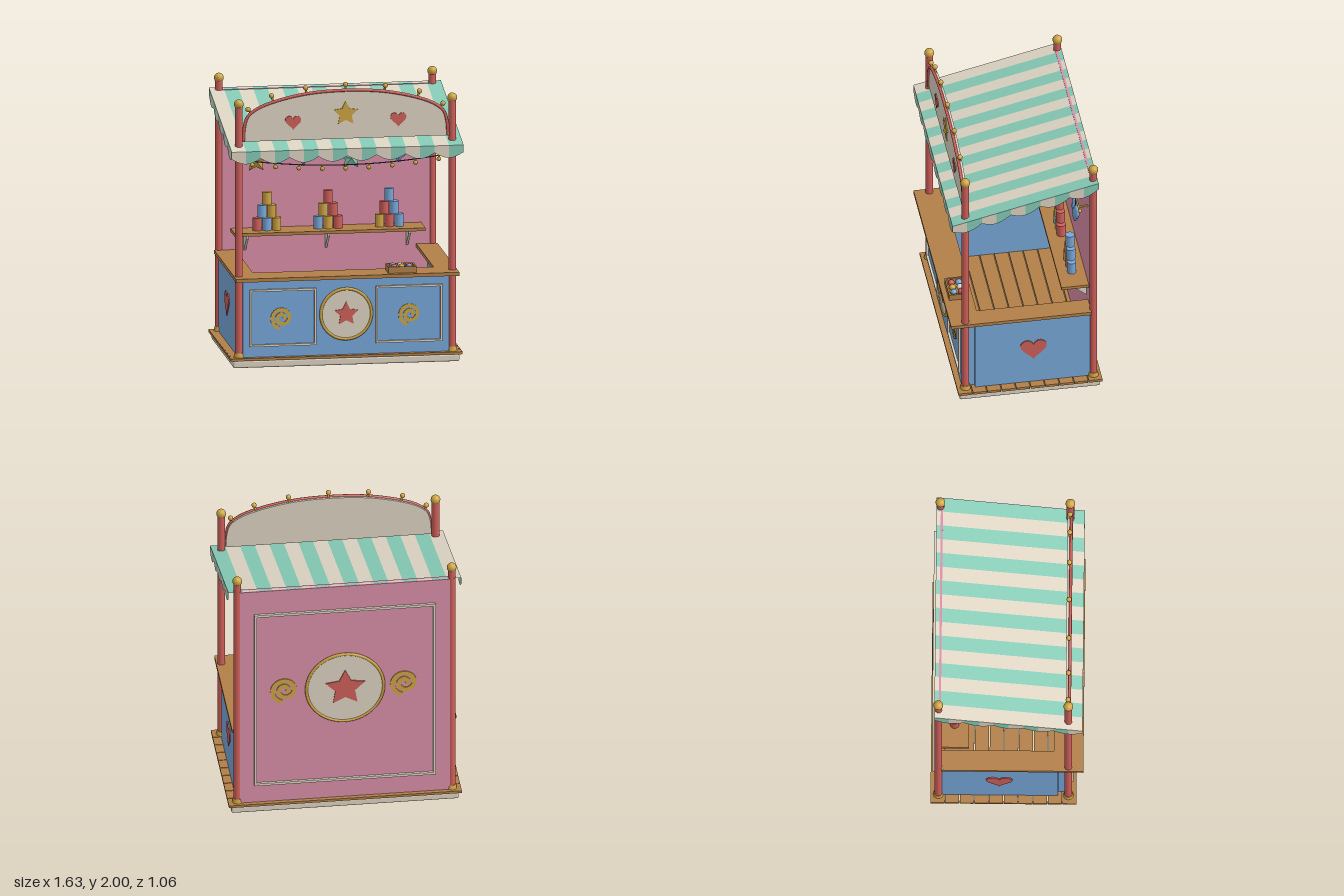
import * as THREE from 'three';
import { mergeGeometries } from 'three/addons/utils/BufferGeometryUtils.js';
import { RoundedBoxGeometry } from 'three/addons/geometries/RoundedBoxGeometry.js';

const mat = (name, color, side = THREE.FrontSide) => {
  const m = new THREE.MeshStandardMaterial({ color, side });
  m.name = name;
  return m;
};

export function createModel() {
  const cream = mat('cream', 0xded5c3, THREE.DoubleSide), red = mat('red', 0xd0605a);
  const gold = mat('gold', 0xcfa544), green = mat('mint green', 0x86cbb6, THREE.DoubleSide);
  const pink = mat('pink', 0xdb8fa8), blue = mat('blue', 0x78a8da);
  const wood = mat('wood', 0xb38048), navy = mat('navy', 0x34486a);

  const model = new THREE.Group();
  model.name = 'fairgroundStall';
  const add = (name, geo, material, x = 0, y = 0, z = 0, parent = model) => {
    const m = new THREE.Mesh(geo, material);
    m.name = name;
    m.position.set(x, y, z);
    parent.add(m);
    return m;
  };
  const group = (name, x = 0, y = 0, z = 0, ry = 0) => {
    const g = new THREE.Group();
    g.name = name;
    g.position.set(x, y, z);
    g.rotation.y = ry;
    model.add(g);
    return g;
  };
  // box given by its limits
  const block = (name, m, x0, x1, y0, y1, z0, z1, parent) => add(name,
    new THREE.BoxGeometry(x1 - x0, y1 - y0, z1 - z0), m, (x0 + x1) / 2, (y0 + y1) / 2, (z0 + z1) / 2, parent);
  const cyl = (r, h, n = 20) => new THREE.CylinderGeometry(r, r, h, n);
  const ball = r => new THREE.SphereGeometry(r, 18, 12);
  const tube = (pts, r, n = 60) => new THREE.TubeGeometry(new THREE.CatmullRomCurve3(pts), n, r, 8);

  // outlines
  const starPts = R => Array.from({ length: 10 }, (_, i) => {
    const a = Math.PI / 2 + i * Math.PI / 5, r = i % 2 ? R * 0.5 : R;
    return new THREE.Vector2(r * Math.cos(a), r * Math.sin(a));
  });
  const heartPts = w => Array.from({ length: 40 }, (_, i) => {
    const t = -i / 40 * Math.PI * 2, k = w / 32;
    return new THREE.Vector2(16 * Math.sin(t) ** 3 * k,
      (13 * Math.cos(t) - 5 * Math.cos(2 * t) - 2 * Math.cos(3 * t) - Math.cos(4 * t) + 2.5) * k);
  });
  const swirlPts = R => {
    const inner = [], outer = [], n = 56;
    for (let i = 0; i <= n; i++) {
      const t = i / n, a = -1.8 - (1 - t) * Math.PI * 3.7, r = R * (0.14 + 0.72 * t), w = R * 0.14;
      inner.push(new THREE.Vector2((r - w) * Math.cos(a), (r - w) * Math.sin(a)));
      outer.push(new THREE.Vector2((r + w) * Math.cos(a), (r + w) * Math.sin(a)));
    }
    return outer.concat(inner.reverse());
  };
  const plate = (pts, depth = 0.008) =>
    new THREE.ExtrudeGeometry(new THREE.Shape(pts), { depth, bevelEnabled: false });

  // pillow-shaped solid from an outline
  const puffy = (pts, depth, rings, flat) => {
    const n = pts.length, pos = [], idx = [], rows = rings * 2;
    for (let j = 0; j <= rows; j++) {
      const t = (j / rings - 1) * Math.PI / 2, s = Math.max(Math.cos(t), 0.001);
      for (const p of pts) pos.push(p.x * s, p.y * s, depth * Math.sin(t));
    }
    for (let j = 0; j < rows; j++) for (let i = 0; i < n; i++) {
      const a = j * n + i, b = j * n + (i + 1) % n;
      idx.push(a, b, b + n, a, b + n, a + n);
    }
    let g = new THREE.BufferGeometry();
    g.setAttribute('position', new THREE.Float32BufferAttribute(pos, 3));
    g.setIndex(idx);
    if (flat) g = g.toNonIndexed();
    g.computeVertexNormals();
    return g;
  };

  // raised moulding around a panel
  const frame = (name, x, y, w, h, t, d, parent) => {
    for (const s of [-1, 1]) {
      add(name, new THREE.BoxGeometry(w, t, d), cream, x, y + s * (h - t) / 2, d / 2, parent);
      add(name, new THREE.BoxGeometry(t, h - t * 2, d), cream, x + s * (w - t) / 2, y, d / 2, parent);
    }
  };
  const medallion = (y, R, starR, parent) => {
    add('medallionDisc', cyl(R, 0.014, 48), cream, 0, y, 0.007, parent).rotation.x = Math.PI / 2;
    add('medallionRing', new THREE.TorusGeometry(R, 0.011, 8, 56), gold, 0, y, 0.011, parent);
    add('medallionStar', plate(starPts(starR)), red, 0, y, 0.014, parent);
  };

  // plinth and plank floor
  add('plinth', new RoundedBoxGeometry(1.59, 0.052, 0.99, 3, 0.012), cream, 0, 0.026, -0.02);
  for (let i = 0; i < 10; i++) {
    const z = -0.53 + i * 0.102;
    block('floorPlank', wood, -0.815, 0.815, 0.052, 0.07, z + 0.003, z + 0.099);
  }

  // four posts with collars and ball finials
  for (const x of [-0.75, 0.75]) for (const z of [0.43, -0.473]) {
    add('post', cyl(0.027, 1.78), red, x, 0.96, z);
    add('postCollar', new THREE.CylinderGeometry(0.03, 0.036, 0.032, 20), gold, x, 0.086, z);
    add('postFinial', ball(0.034), gold, x, 1.866, z);
  }

  // counter
  block('counterFront', blue, -0.725, 0.725, 0.07, 0.62, 0.36, 0.45);
  block('counterTop', wood, -0.785, 0.785, 0.62, 0.645, 0.33, 0.535);
  for (const s of [-1, 1]) {
    block('counterSide', blue, s * 0.735 - 0.02, s * 0.735 + 0.02, 0.07, 0.62, -0.455, 0.36);
    block('counterSideTop', wood, s * 0.71 - 0.075, s * 0.71 + 0.075, 0.62, 0.645, -0.455, 0.33);
    const side = group('sideDecoration', s * 0.755, 0.348, -0.05, s * Math.PI / 2);
    add('sideHeart', plate(heartPts(0.185)), red, 0, 0, 0, side);
  }
  const front = group('frontDecoration', 0, 0, 0.45);
  medallion(0.36, 0.178, 0.088, front);
  for (const s of [-1, 1]) {
    frame('frontMoulding', s * 0.443, 0.348, 0.468, 0.404, 0.014, 0.016, front);
    add('frontSwirl', plate(swirlPts(0.088)), gold, s * 0.45, 0.345, 0, front);
  }

  // back wall with its painted rear
  block('backWall', pink, -0.735, 0.735, 0.07, 1.784, -0.497, -0.455);
  const back = group('backDecoration', 0, 0, -0.497, Math.PI);
  frame('backMoulding', 0, 0.905, 1.27, 1.39, 0.018, 0.018, back);
  medallion(0.965, 0.27, 0.145, back);
  for (const s of [-1, 1]) add('backSwirl', plate(swirlPts(0.112)), gold, s * 0.42, 0.97, 0, back);

  // shelf, brackets and can pyramids
  block('shelf', wood, -0.67, 0.67, 0.775, 0.797, -0.455, -0.262);
  for (const x of [-0.57, 0, 0.57]) {
    const tri = [[0, 0], [0.125, 0], [0.125, -0.03], [0, -0.135]].map(p => new THREE.Vector2(...p));
    add('shelfBracket', plate(tri, 0.016), cream, x + 0.008, 0.775, -0.455).rotation.y = -Math.PI / 2;
  }
  const canColors = [red, blue, gold];
  for (let g = 0; g < 3; g++) for (let row = 0; row < 3; row++) for (let i = 0; i < 3 - row; i++)
    add('can', cyl(0.032, 0.089), canColors[(g + row + i) % 3],
      (g - 1) * 0.43 + (i - (2 - row) / 2) * 0.069, 0.842 + row * 0.091, -0.362);

  // ball tray
  const tray = group('ballTray', 0.39, 0.645, 0.432);
  block('trayBase', wood, -0.1, 0.1, 0, 0.012, -0.066, 0.066, tray);
  for (const s of [-1, 1]) {
    block('traySide', wood, -0.1, 0.1, 0, 0.045, s * 0.061 - 0.006, s * 0.061 + 0.006, tray);
    block('trayEnd', wood, s * 0.094 - 0.006, s * 0.094 + 0.006, 0, 0.045, -0.055, 0.055, tray);
  }
  for (let i = 0; i < 6; i++)
    add('throwingBall', ball(0.023), [red, cream, blue, gold][(i * 3 + (i > 2 ? 1 : 0)) % 4],
      (i % 3 - 1) * 0.054, 0.034, i < 3 ? 0.026 : -0.026, tray);

  // prize rail with hanging stars and hearts
  add('prizeRail', cyl(0.007, 1.34, 10), gold, 0, 1.455, -0.39).rotation.z = Math.PI / 2;
  for (const x of [-0.62, 0.62]) block('railBracket', gold, x - 0.006, x + 0.006, 1.449, 1.461, -0.455, -0.39);
  for (const x of [-0.67, 0.67]) add('railEnd', ball(0.014), gold, x, 1.455, -0.39);
  [gold, pink, green, blue].forEach((m, i) => {
    const x = -0.5 + i / 3, isHeart = i % 2 === 1;
    add('prizeString', cyl(0.003, 0.1, 6), navy, x, 1.41, -0.39);
    add(isHeart ? 'heartPrize' : 'starPrize', isHeart ? puffy(heartPts(0.18), 0.023, 6, false)
      : puffy(starPts(0.088), 0.025, 1, true), m, x, isHeart ? 1.318 : 1.286, -0.39);
  });

  // string of bulbs between the front posts
  const sag = x => 1.412 + 0.055 * (x / 0.72) ** 2;
  add('bulbString', tube(Array.from({ length: 13 }, (_, i) => {
    const x = (i / 6 - 1) * 0.73;
    return new THREE.Vector3(x, sag(x), 0.43);
  }), 0.004), navy);
  for (let i = -4; i <= 4; i++) {
    const x = i * 0.164;
    add('bulbCap', cyl(0.007, 0.018, 10), gold, x, sag(x) - 0.008, 0.43);
    add('stringBulb', ball(0.016), gold, x, sag(x) - 0.025, 0.43);
  }

  // striped awning with scalloped edges
  const W = 0.815, ZF = 0.53, ZB = -0.5;
  const roofY = z => 1.547 + (ZF - z) * 0.237;
  const strip = (u0, u1, rule) => {
    const g = new THREE.PlaneGeometry(1, 1, 12, 1), p = g.attributes.position;
    for (let i = 0; i < p.count; i++)
      p.setXYZ(i, ...rule(u0 + (p.getX(i) + 0.5) * (u1 - u0), p.getY(i) + 0.5));
    g.computeVertexNormals();
    return g;
  };
  const drop = (u, pitch) => 0.05 + 0.038 * Math.abs(Math.sin(Math.PI * u / pitch));
  const cloth = [[], []];
  for (let i = 0; i < 16; i++) {
    const a = -W + i * W / 8, b = a + W / 8;
    cloth[i % 2].push(strip(a, b, (u, v) => [u, roofY(ZF + v * (ZB - ZF)), ZF + v * (ZB - ZF)]));
    cloth[i % 2].push(strip(a, b, (u, v) => [u, roofY(ZF) - (1 - v) * drop(u + W, W / 4), ZF]));
  }
  const L = ZF - ZB;
  for (let i = 0; i < 10; i++) for (const s of [-1, 1])
    cloth[i % 2].push(strip(i * L / 10, (i + 1) * L / 10, (u, v) =>
      [s * W, roofY(ZF - u) - (1 - v) * drop(u, L / 5), ZF - u]));
  add('awningCreamStripes', mergeGeometries(cloth[0]), cream);
  add('awningGreenStripes', mergeGeometries(cloth[1]), green);

  // arched sign with trim, bulbs and emblems
  const half = [[0.72, 1.6], [0.713, 1.7], [0.69, 1.775], [0.63, 1.826], [0.52, 1.872], [0.28, 1.926]];
  const arch = [...half, [0, 1.943], ...half.map(([x, y]) => [-x, y]).reverse()]
    .map(([x, y]) => new THREE.Vector3(x, y, 0));
  const outline = new THREE.CatmullRomCurve3(arch).getPoints(60).map(p => new THREE.Vector2(p.x, p.y));
  add('signBoard', plate(outline, 0.026), cream, 0, 0, 0.412);
  add('signTrim', tube(arch, 0.011, 80), red, 0, 0, 0.438);
  add('signHeartLeft', plate(heartPts(0.112)), red, 0.37, 1.722, 0.438);
  add('signHeartRight', plate(heartPts(0.112)), red, -0.37, 1.722, 0.438);
  add('signStar', plate(starPts(0.09)), gold, 0, 1.778, 0.438);
  const bulbs = [[0, 1.982, 0], [0.28, 1.966, 0.14], [0.52, 1.918, 0.3], [0.685, 1.826, 0.75]];
  for (const [x, y, tilt] of bulbs) for (const s of x ? [-1, 1] : [1]) {
    const lamp = group('signBulb', s * x, y, 0.428);
    lamp.rotation.z = -s * tilt;
    add('bulb', ball(0.018), gold, 0, 0, 0, lamp);
    add('bulbStem', cyl(0.008, 0.04, 10), gold, 0, -0.024, 0, lamp);
  }
  return model;
}
